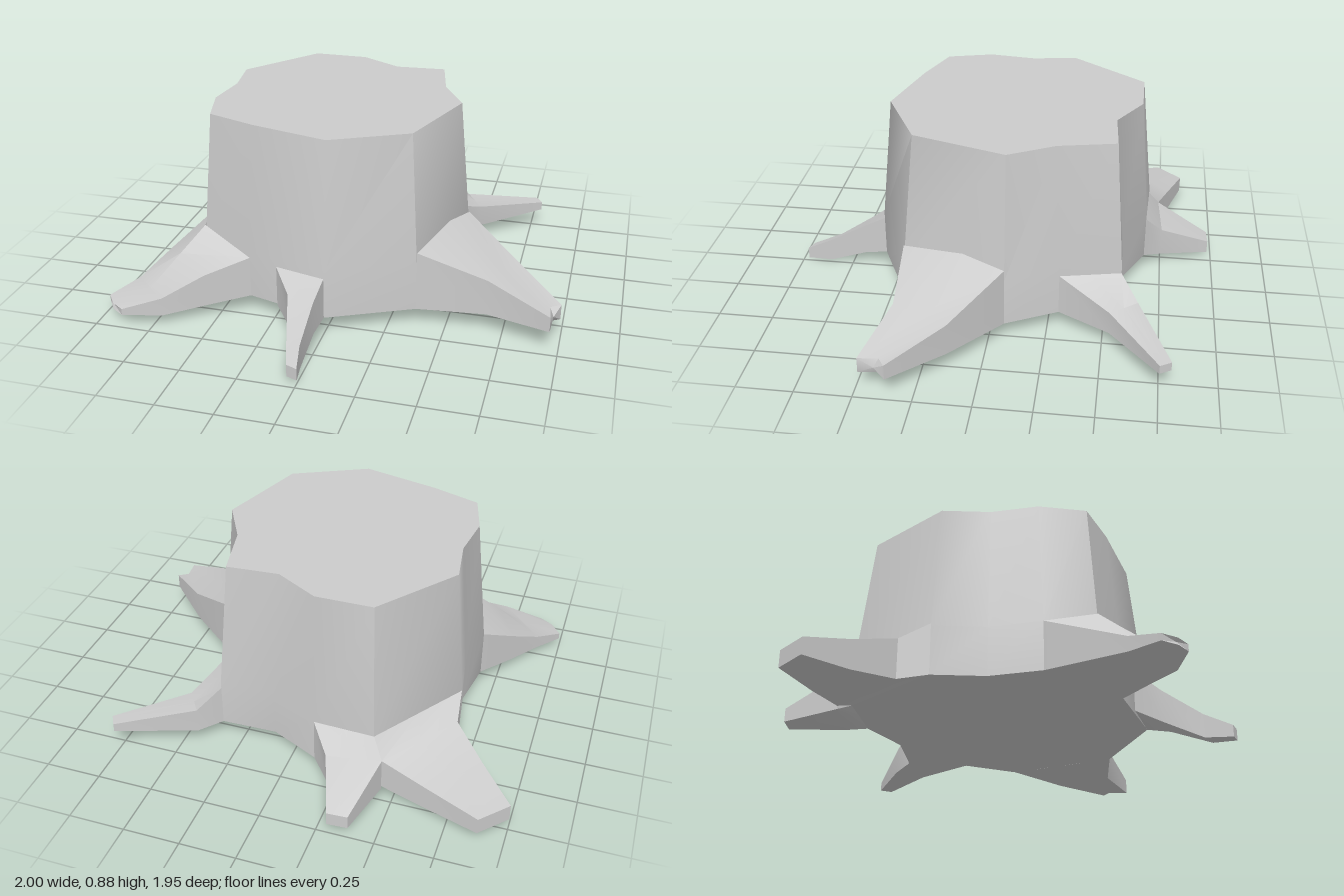
import * as THREE from 'three';
import { toCreasedNormals } from 'three/addons/utils/BufferGeometryUtils.js';

const material = new THREE.MeshStandardMaterial({ color: 0xcccccc });

// Skins a list of equal-length rings of [x, y, z] points and closes both ends.
function loft(name, rings, crease) {
  const n = rings[0].length;
  const pos = [];
  const tri = (a, b, c) => pos.push(...a, ...b, ...c);
  for (let i = 0; i + 1 < rings.length; i++) {
    for (let k = 0; k < n; k++) {
      const m = (k + 1) % n, p = rings[i], q = rings[i + 1];
      tri(p[k], q[k], p[m]);
      tri(p[m], q[k], q[m]);
    }
  }
  const cap = (ring, flip) => {
    const c = [0, 1, 2].map(j => ring.reduce((s, v) => s + v[j], 0) / n);
    for (let k = 0; k < n; k++) {
      const a = ring[k], b = ring[(k + 1) % n];
      if (flip) tri(c, a, b); else tri(c, b, a);
    }
  };
  cap(rings[0], true);
  cap(rings[rings.length - 1], false);
  const geometry = new THREE.BufferGeometry();
  geometry.setAttribute('position', new THREE.Float32BufferAttribute(pos, 3));
  const mesh = new THREE.Mesh(toCreasedNormals(geometry, crease), material);
  mesh.name = name;
  return mesh;
}

// Trunk outlines as [x, z]: the flared foot and the cut top
const foot = [[-0.40, -0.68], [-0.13, -0.67], [0.09, -0.565], [0.34, -0.57], [0.40, -0.30],
  [0.52, -0.07], [0.37, 0.40], [0, 0.575], [-0.37, 0.47], [-0.61, 0.38], [-0.685, 0.16],
  [-0.65, -0.07], [-0.685, -0.30]];
const cut = [[-0.37, -0.62], [-0.12, -0.62], [0.07, -0.51], [0.30, -0.525], [0.355, -0.27],
  [0.465, -0.07], [0.33, 0.35], [0, 0.515], [-0.35, 0.425], [-0.57, 0.345], [-0.625, 0.14],
  [-0.60, -0.07], [-0.63, -0.28]];

// Roots: sections from trunk to tip, each { a, b: side points [x, z, top], low: underside, m: middle }
const roots = {
  frontRoot: [
    { a: [-0.23, 0.52, 0.27], b: [0, 0.575, 0.27], low: 0.08 },
    { a: [-0.14, 0.64, 0.21], b: [-0.015, 0.68, 0.21], low: 0.06 },
    { a: [-0.09, 0.82, 0.11], b: [-0.02, 0.86, 0.11], low: 0 },
    { a: [-0.05, 0.95, 0.07], b: [0, 0.97, 0.07], low: 0.015 },
  ],
  frontLeftRoot: [
    { a: [0.37, 0.40, 0.355], b: [0.52, -0.07, 0.355], m: [0.46, 0.12, 0.39], low: 0.08 },
    { a: [0.68, 0.385, 0.255], b: [0.78, 0.14, 0.235], low: 0.09 },
    { a: [0.96, 0.48, 0.17], b: [0.995, 0.36, 0.17], m: [0.95, 0.39, 0.17], low: 0.10 },
  ],
  backLeftRoot: [
    { a: [0.40, -0.30, 0.27], b: [0.34, -0.57, 0.27], low: 0.08 },
    { a: [0.51, -0.53, 0.17], b: [0.43, -0.65, 0.18], low: 0.065 },
    { a: [0.80, -0.75, 0.13], b: [0.77, -0.80, 0.13], low: 0.09 },
  ],
  backRoot: [
    { a: [-0.13, -0.67, 0.28], b: [-0.40, -0.68, 0.28], low: 0.08 },
    { a: [-0.21, -0.75, 0.18], b: [-0.45, -0.73, 0.20], low: 0.045 },
    { a: [-0.29, -0.98, 0.085], b: [-0.38, -0.975, 0.085], low: 0.025 },
  ],
  backRightRoot: [
    { a: [-0.40, -0.68, 0.28], b: [-0.685, -0.30, 0.31], low: 0.08 },
    { a: [-0.45, -0.73, 0.20], b: [-0.70, -0.43, 0.24], low: 0.06 },
    { a: [-0.66, -0.78, 0.15], b: [-0.85, -0.58, 0.17], low: 0.04 },
    { a: [-0.89, -0.85, 0.115], b: [-1, -0.73, 0.115], low: 0.04 },
  ],
  frontRightRoot: [
    { a: [-0.685, 0.16, 0.30], b: [-0.37, 0.47, 0.27], m: [-0.61, 0.38, 0.36], low: 0.08 },
    { a: [-0.80, 0.33, 0.20], b: [-0.55, 0.575, 0.21], m: [-0.70, 0.47, 0.25], low: 0.06 },
    { a: [-0.90, 0.49, 0.11], b: [-0.71, 0.68, 0.13], low: 0.045 },
    { a: [-0.995, 0.61, 0.07], b: [-0.89, 0.715, 0.07], m: [-0.95, 0.675, 0.07], low: 0.04 },
  ],
};

// Six-sided root section: top edge one way, underside back again
function rootRing({ a, b, m, low }) {
  const top = [a, m ?? a.map((v, i) => (v + b[i]) / 2), b];
  return [
    ...top.map(([x, z, y]) => [x, y, z]),
    ...top.reverse().map(([x, z]) => [x, low, z]),
  ];
}

export function createModel() {
  const group = new THREE.Group();
  group.name = 'treeStump';
  const at = (outline, y) => outline.map(([x, z]) => [x, y, z]);

  // Trunk: straight foot, then tapering to the flat cut
  group.add(loft('trunk', [at(foot, 0.08), at(foot, 0.3), at(cut, 0.885)], 0.8));

  for (const [name, sections] of Object.entries(roots)) {
    group.add(loft(name, sections.map(rootRing), 0.5));
  }
  return group;
}
